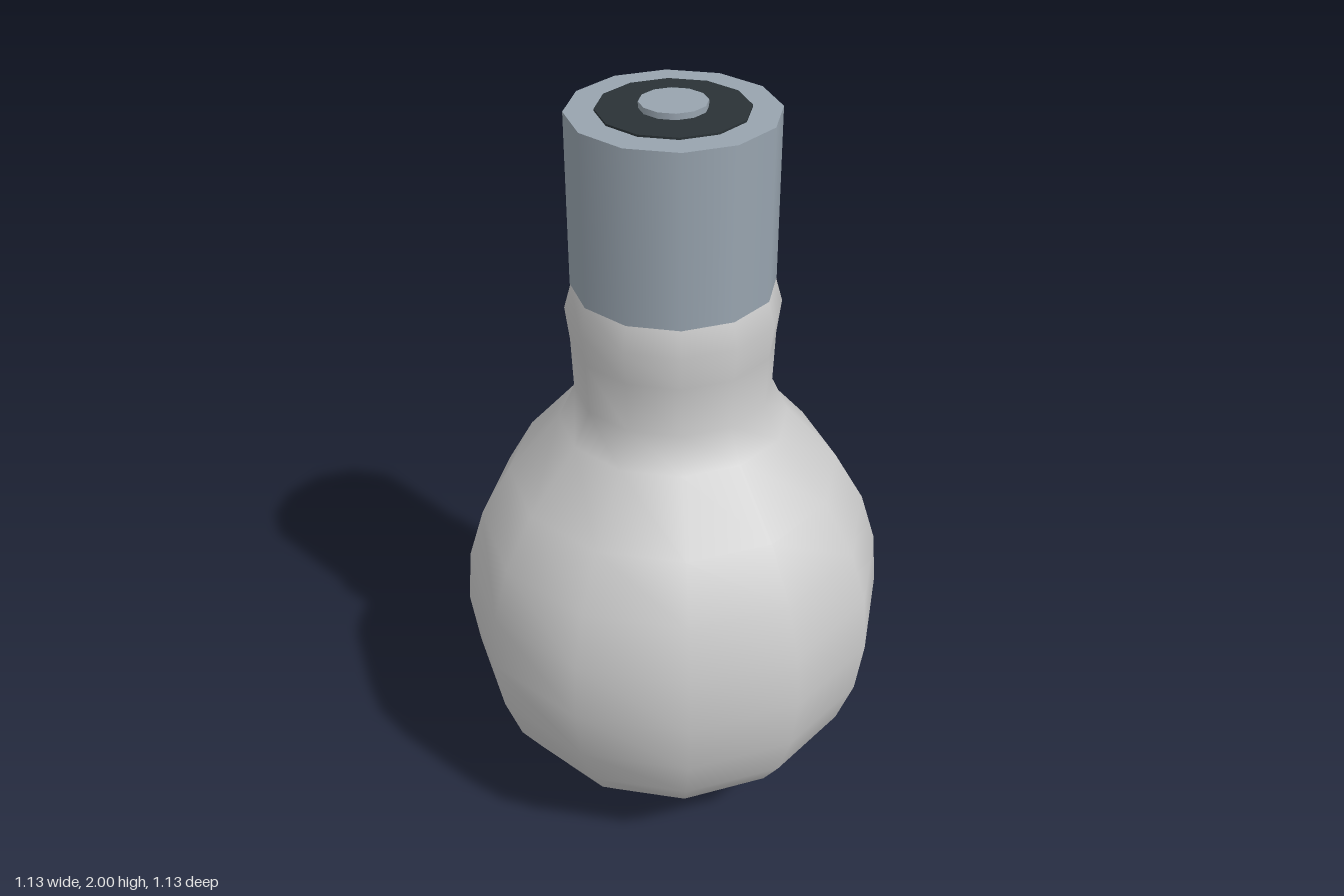
import * as THREE from 'three';

const SIDES = 12;

export function createModel() {
  const group = new THREE.Group();
  const glass = new THREE.MeshStandardMaterial({ color: 0xcccccc });
  const metal = new THREE.MeshStandardMaterial({ color: 0x98a4af });
  const dark = new THREE.MeshStandardMaterial({ color: 0x2a3236 });

  const add = (name, geometry, material) => {
    const mesh = new THREE.Mesh(geometry, material);
    mesh.name = name;
    group.add(mesh);
  };
  // Upright cylinder between two heights
  const disc = (name, radius, y0, y1, material) => {
    const geometry = new THREE.CylinderGeometry(radius, radius, y1 - y0, SIDES);
    add(name, geometry.translate(0, (y0 + y1) / 2, 0), material);
  };

  // Glass globe narrowing into a slightly flared neck, from the bottom up
  const profile = [
    [0, 0], [0.2, 0.045], [0.295, 0.08], [0.37, 0.135], [0.44, 0.21],
    [0.5, 0.3], [0.545, 0.43], [0.565, 0.58], [0.553, 0.73], [0.51, 0.87],
    [0.43, 1.01], [0.295, 1.165], [0.252, 1.255], [0.257, 1.39],
    [0.268, 1.48], [0.25, 1.545],
  ].map(([r, y]) => new THREE.Vector2(r, y));
  add('glassBulb', new THREE.LatheGeometry(profile, SIDES), glass);

  // Metal base, insulating ring and end contact
  disc('metalBase', 0.252, 1.545, 1.98, metal);
  disc('insulator', 0.181, 1.97, 1.985, dark);
  disc('endContact', 0.081, 1.975, 2, metal);

  return group;
}
